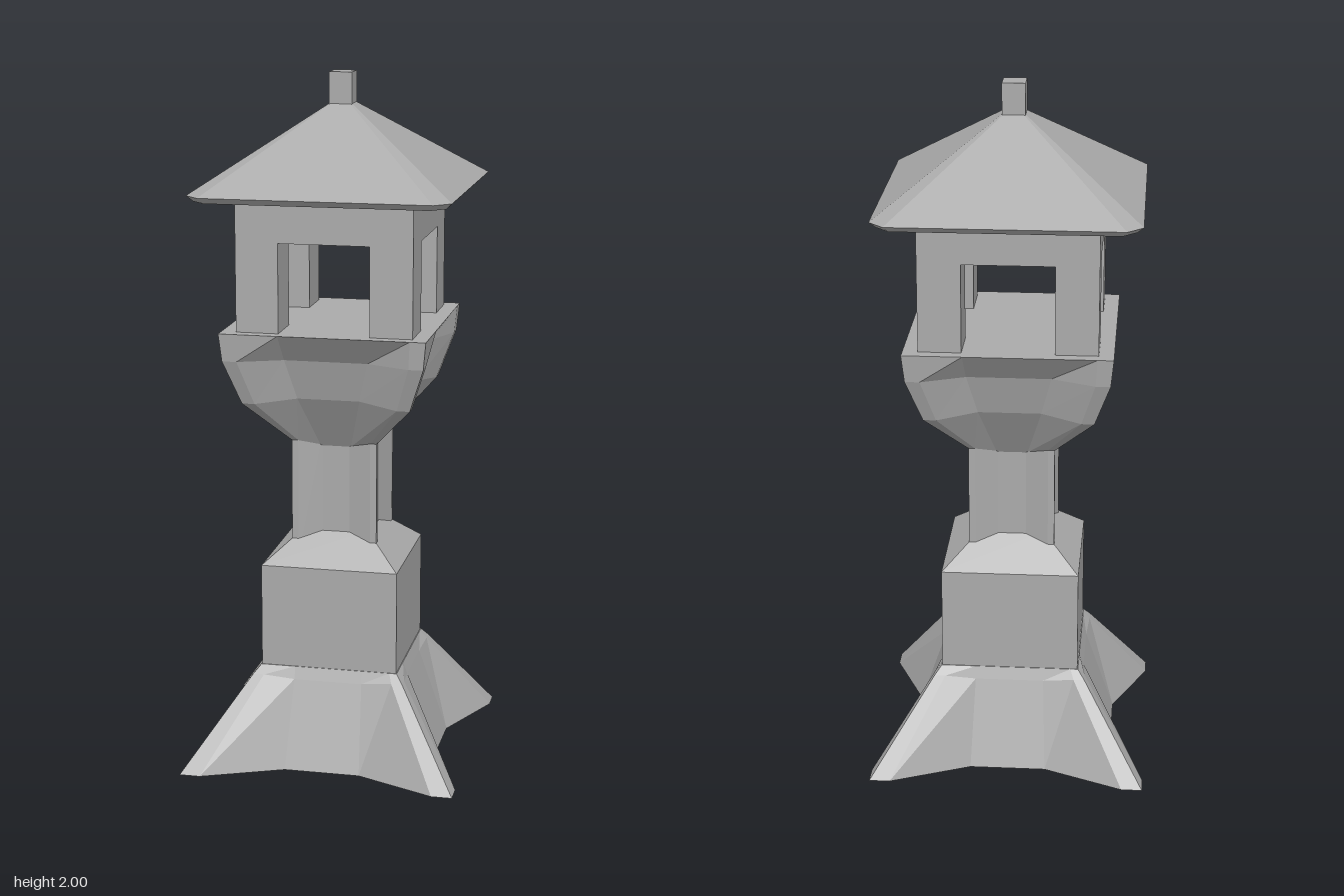
import * as THREE from 'three';

// One side of a four-fold ring: corner c, shoulder e, hollow middle from -m to m at depth d.
const star = (y, c, e, m, d, yMid = y) => [[-c, y, c], [-e, y, c], [-m, yMid, d], [m, yMid, d], [e, y, c]];
const square = (y, c) => [[-c, y, c]];
const clipped = (y, c, e) => [[-e, y, c], [e, y, c]];

// Repeat a side four times about the y axis.
function ringOf(side) {
  const ring = [];
  for (let k = 0; k < 4; k++) {
    for (const [x, y, z] of side) {
      ring.push([[x, z], [z, -x], [-x, -z], [-z, x]][k]);
      ring.push(y);
    }
  }
  const points = [];
  for (let i = 0; i < ring.length; i += 2) points.push([ring[i][0], ring[i + 1], ring[i][1]]);
  return points;
}

// Faceted closed solid through rings listed from bottom to top.
function loft(sides) {
  const rings = sides.map(ringOf);
  const n = rings[0].length;
  const pos = [];
  const tri = (a, b, c) => pos.push(...a, ...b, ...c);
  const first = rings[0], last = rings[rings.length - 1];
  const mid = (r) => [0, r.reduce((s, p) => s + p[1], 0) / n, 0];
  for (let i = 0; i < n; i++) {
    const j = (i + 1) % n;
    for (let r = 0; r + 1 < rings.length; r++) {
      tri(rings[r][i], rings[r][j], rings[r + 1][j]);
      tri(rings[r][i], rings[r + 1][j], rings[r + 1][i]);
    }
    tri(mid(first), first[j], first[i]);
    tri(mid(last), last[i], last[j]);
  }
  const g = new THREE.BufferGeometry();
  g.setAttribute('position', new THREE.Float32BufferAttribute(pos, 3));
  g.computeVertexNormals();
  return g;
}

export function createModel() {
  const group = new THREE.Group();
  group.name = 'stoneLantern';
  const stone = new THREE.MeshStandardMaterial({ color: 0xaaaaaa });
  stone.name = 'grey stone';
  const add = (name, geometry, x = 0, y = 0, z = 0) => {
    const mesh = new THREE.Mesh(geometry, stone);
    mesh.name = name;
    mesh.position.set(x, y, z);
    group.add(mesh);
    return mesh;
  };

  // Flared foot with hollowed sides
  add('foot', loft([
    star(0, 0.4, 0.34, 0.11, 0.3),
    star(0.26, 0.222, 0.19, 0.1, 0.215, 0.25),
    star(0.285, 0.202, 0.18, 0.1, 0.202),
  ]));

  // Square pedestal with a bevelled cap
  add('pedestal', loft([square(0.28, 0.2), square(0.588, 0.2), square(0.68, 0.094)]));

  // Column with hollowed sides
  add('column', loft([star(0.6, 0.125, 0.106, 0.04, 0.1), star(0.96, 0.125, 0.106, 0.04, 0.1)]));

  // Bowl, hollowed below and square at the rim
  add('bowl', loft([
    star(0.95, 0.125, 0.106, 0.045, 0.1, 0.932),
    star(1.08, 0.242, 0.205, 0.09, 0.2, 1.092),
    star(1.21, 0.287, 0.245, 0.12, 0.235),
    star(1.29, 0.295, 0.25, 0.125, 0.295),
  ]));

  // Light chamber: four corner posts under a solid lintel block
  for (const sx of [-1, 1]) {
    for (const sz of [-1, 1]) {
      add('chamberPost', new THREE.BoxGeometry(0.122, 0.26, 0.13), sx * 0.191, 1.416, sz * 0.195);
    }
  }
  add('lintel', new THREE.BoxGeometry(0.504, 0.126, 0.52), 0, 1.608, 0);

  // Hipped roof with clipped corners and a thin eave
  const roof = add('roof', loft([
    clipped(1.665, 0.362, 0.322),
    clipped(1.682, 0.38, 0.335),
    clipped(1.912, 0.033, 0.028),
  ]));
  roof.scale.x = 0.973;

  // Square finial
  add('finial', new THREE.BoxGeometry(0.066, 0.1, 0.07), 0, 1.95, 0);

  return group;
}
